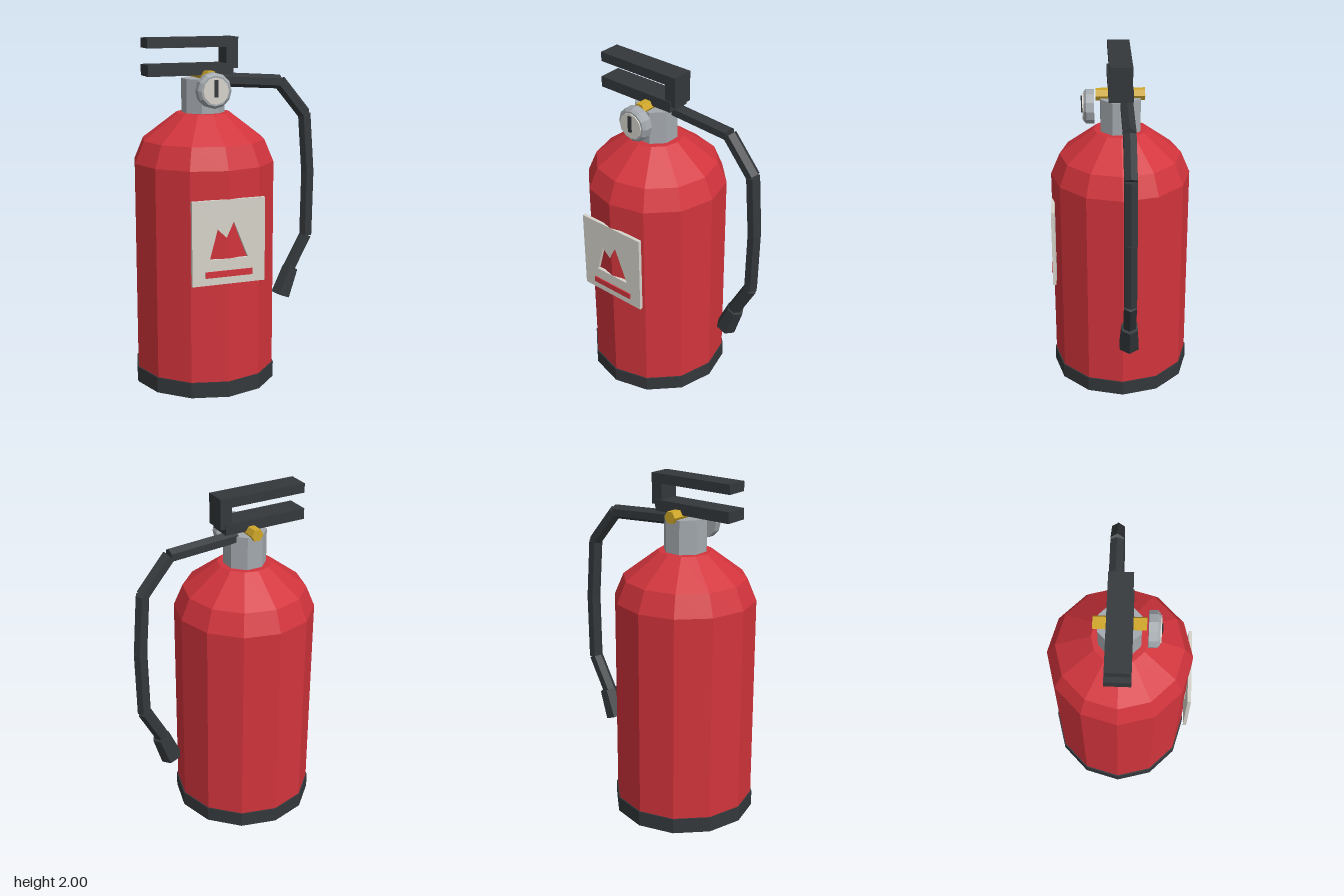
import * as THREE from 'three';

const AXIS = -0.16; // x of the tank's axis
const mat = (color) => new THREE.MeshStandardMaterial({ color, flatShading: true });

export function createModel() {
  const model = new THREE.Group();
  const red = mat(0xd2343c), dark = mat(0x34383b), steel = mat(0xa3a9ae);
  const cream = mat(0xd6d3ca), gold = mat(0xd0a82a);

  const add = (name, geometry, material, x = 0, y = 0, z = 0) => {
    const mesh = new THREE.Mesh(geometry, material);
    mesh.name = name;
    mesh.position.set(x, y, z);
    model.add(mesh);
    return mesh;
  };
  const lathe = (points, sides) =>
    new THREE.LatheGeometry(points.map(([r, y]) => new THREE.Vector2(r, y)), sides);
  // Box given by its limits
  const box = (name, material, x0, x1, y0, y1, z0, z1) =>
    add(name, new THREE.BoxGeometry(x1 - x0, y1 - y0, z1 - z0), material,
      (x0 + x1) / 2, (y0 + y1) / 2, (z0 + z1) / 2);
  // Six-sided rod between two points in a plane of constant z
  const rod = (name, [x0, y0], [x1, y1], r0, r1, z) => {
    const g = new THREE.CylinderGeometry(r1, r0, Math.hypot(x1 - x0, y1 - y0), 6);
    g.rotateY(Math.PI / 2);
    const mesh = add(name, g, dark, (x0 + x1) / 2, (y0 + y1) / 2, z);
    mesh.rotation.z = Math.atan2(y1 - y0, x1 - x0) - Math.PI / 2;
  };

  // Tank with faceted shoulders, and the foot ring around its base
  add('tank', lathe([[0, 0.004], [0.325, 0.004], [0.4075, 0.06], [0.4075, 1.3],
    [0.355, 1.425], [0.155, 1.577], [0, 1.577]], 12), red, AXIS);
  add('footRing', lathe([[0.32, 0.02], [0.32, 0], [0.415, 0], [0.415, 0.09], [0.4, 0.09]], 12),
    dark, AXIS);

  // Valve neck with flats facing the axes
  add('valveNeck', new THREE.CylinderGeometry(0.124, 0.124, 0.2, 8).rotateY(Math.PI / 8),
    steel, AXIS, 1.67);

  // Safety pin through the valve
  add('safetyPin', new THREE.CylinderGeometry(0.037, 0.037, 0.28, 6)
    .rotateY(Math.PI / 6).rotateX(Math.PI / 2), gold, AXIS, 1.785);

  // Pressure gauge
  add('gaugeCase', lathe([[0, 0.15], [0.1, 0.15], [0.1, 0.195], [0.085, 0.21], [0, 0.21]], 12)
    .rotateX(Math.PI / 2), steel, AXIS, 1.714);
  add('gaugeDial', new THREE.CylinderGeometry(0.075, 0.075, 0.02, 12).rotateX(Math.PI / 2),
    cream, AXIS, 1.714, 0.207);
  box('gaugeNeedle', dark, AXIS - 0.011, AXIS + 0.011, 1.68, 1.775, 0.21, 0.225);

  // Squeeze handle
  box('lowerLever', dark, -0.505, 0.0, 1.79, 1.853, -0.07, 0.07);
  box('upperLever', dark, -0.505, 0.03, 1.945, 2.0, -0.065, 0.065);
  box('leverPost', dark, -0.04, 0.03, 1.825, 1.995, -0.063, 0.063);

  // Hose in straight segments, ending in a flared nozzle
  const path = [[-0.08, 1.757], [0.33, 1.73], [0.495, 1.533], [0.522, 1.178],
    [0.515, 0.79], [0.405, 0.585]];
  for (let i = 0; i < path.length - 1; i++) {
    rod('hoseSegment' + (i + 1), path[i], path[i + 1], 0.041, 0.041, -0.033);
  }
  rod('nozzle', [0.415, 0.588], [0.352, 0.425], 0.053, 0.064, -0.033);

  // Label plate with a peak-shaped cut-out and a stripe
  const v = (x, y) => new THREE.Vector2(x, y);
  const plate = new THREE.Shape([v(-0.373, 0.667), v(0.055, 0.667), v(0.055, 1.143), v(-0.373, 1.143)]);
  plate.holes.push(new THREE.Path([v(-0.272, 0.81), v(-0.225, 0.98), v(-0.172, 0.93),
    v(-0.13, 1.018), v(-0.045, 0.81)]));
  add('label', new THREE.ExtrudeGeometry(plate, { depth: 0.02, bevelEnabled: false }),
    cream, 0, 0, 0.389);
  box('labelStripe', red, -0.296, -0.02, 0.71, 0.745, 0.4, 0.416);

  return model;
}
